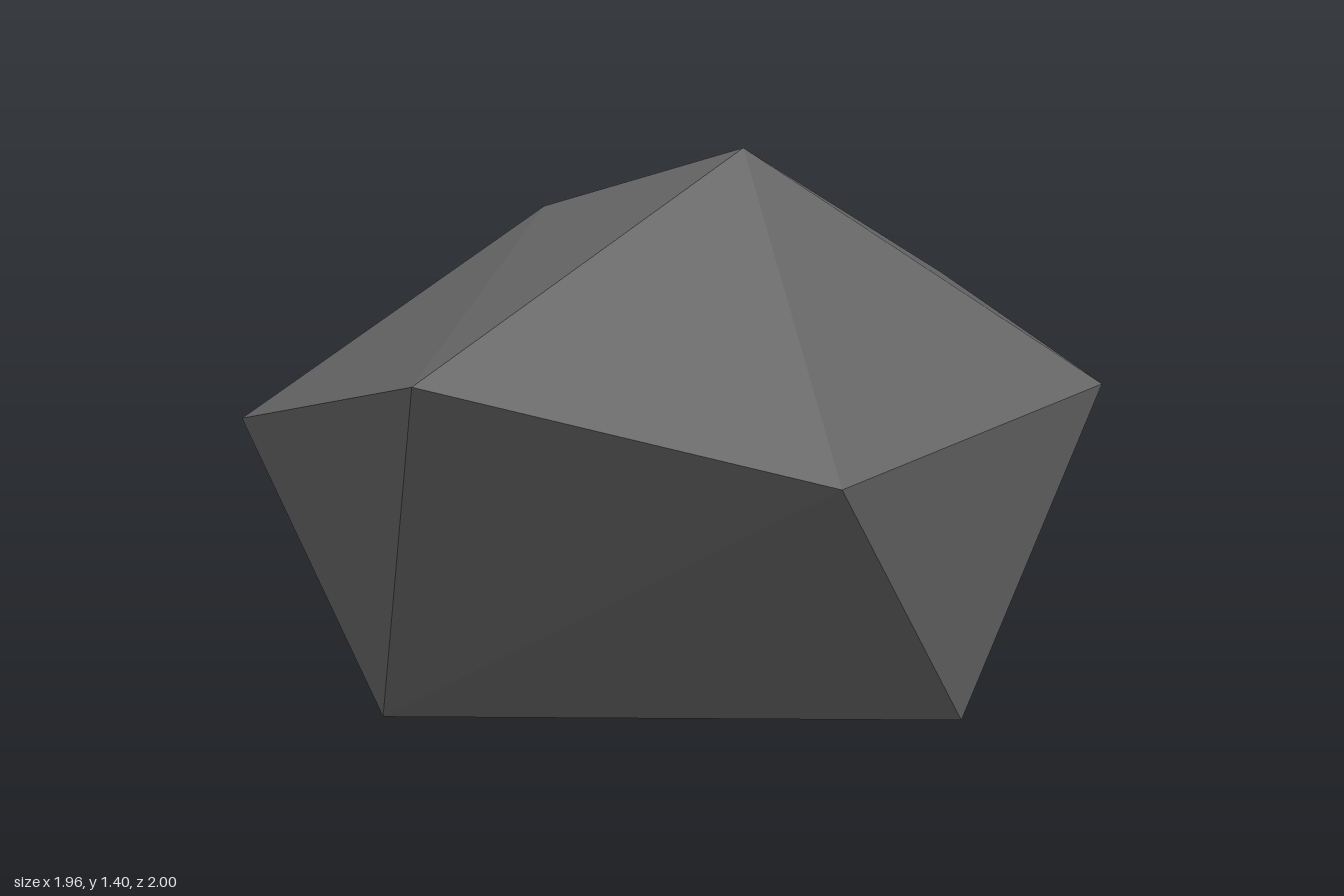
import * as THREE from 'three';

export function createModel() {
  const group = new THREE.Group();
  group.name = 'boulder';
  const stone = new THREE.MeshStandardMaterial({ color: 0x666666, flatShading: true });
  stone.name = 'dark grey stone';

  // Irregular twenty-sided stone: peak, upper ring, lower ring, bottom corner
  const peak = [0.19, 1.4, 0.17];
  const upper = [[-0.45, 1.02, 1.0], [0.34, 0.82, 0.97], [0.98, 0.89, 0.25], [0.77, 1.01, -0.79], [-0.27, 1.23, -0.31]];
  const lower = [[-0.6, 0.18, 0.41], [0.64, 0.23, 0.58], [0.46, 0, -0.82], [-0.16, 0.89, -1.0], [-0.98, 0.75, -0.08]];
  const base = [-0.66, 0.21, -0.8];

  // Cap fans and the zigzag band between the rings
  const corners = [];
  for (let i = 0; i < 5; i++) {
    const j = (i + 1) % 5;
    corners.push(
      peak, upper[i], upper[j],
      upper[i], lower[i], upper[j],
      upper[j], lower[i], lower[j],
      base, lower[j], lower[i]
    );
  }
  const geometry = new THREE.BufferGeometry();
  geometry.setAttribute('position', new THREE.Float32BufferAttribute(corners.flat(), 3));
  geometry.computeVertexNormals();

  const rock = new THREE.Mesh(geometry, stone);
  rock.name = 'rock';
  group.add(rock);
  return group;
}
